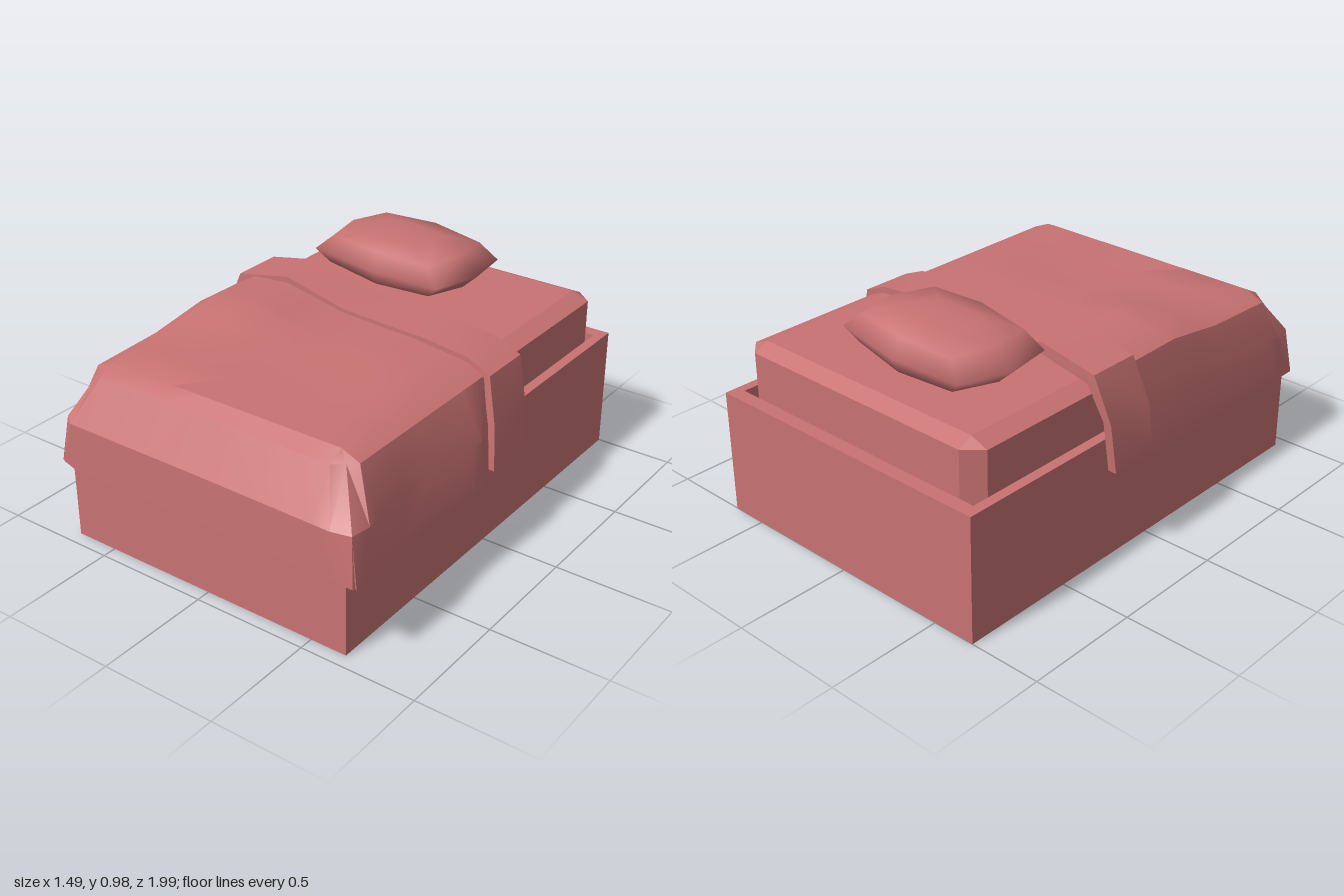
import * as THREE from 'three';
import { toCreasedNormals } from 'three/addons/utils/BufferGeometryUtils.js';

const material = new THREE.MeshStandardMaterial({ color: 0xc87272, side: THREE.DoubleSide });

// Surface from rows of points; the quad diagonals mirror about the middle column.
function surface(rows, crease) {
  const n = rows[0].length, index = [];
  for (let r = 0; r < rows.length - 1; r++) {
    for (let c = 0; c < n - 1; c++) {
      const a = r * n + c, b = a + n, d = a + 1, e = b + 1;
      if (c < (n - 1) / 2) index.push(a, b, d, b, e, d);
      else index.push(a, b, e, a, e, d);
    }
  }
  const g = new THREE.BufferGeometry();
  g.setAttribute('position', new THREE.Float32BufferAttribute(rows.flat(2), 3));
  g.setIndex(index);
  return toCreasedNormals(g, crease);
}

function add(group, name, geometry) {
  const mesh = new THREE.Mesh(geometry, material);
  mesh.name = name;
  group.add(mesh);
}

function box(group, name, x0, x1, y0, y1, z0, z1) {
  const g = new THREE.BoxGeometry(x1 - x0, y1 - y0, z1 - z0);
  add(group, name, g.translate((x0 + x1) / 2, (y0 + y1) / 2, (z0 + z1) / 2));
}

// Piecewise linear lookup in [key, value] pairs
function lookup(table, t) {
  if (t <= table[0][0]) return table[0][1];
  for (let i = 1; i < table.length; i++) {
    const [k0, v0] = table[i - 1], [k1, v1] = table[i];
    if (t <= k1) return v0 + (v1 - v0) * (t - k0) / (k1 - k0);
  }
  return table[table.length - 1][1];
}

// Mattress: clipped corners and a shallow bevel round the top
function mattress() {
  const ring = (x0, x1, z0, z1, cx, cz, y) => [
    [x0, y, z0 + cz], [x0, y, z1 - cz], [x0 + cx, y, z1], [x1 - cx, y, z1],
    [x1, y, z1 - cz], [x1, y, z0 + cz], [x1 - cx, y, z0], [x0 + cx, y, z0], [x0, y, z0 + cz]];
  const centre = y => Array(9).fill([-0.015, y, 0]);
  return surface([
    centre(0.76),
    ring(-0.57, 0.54, -0.865, 0.8, 0, 0, 0.76),
    ring(-0.645, 0.615, -0.93, 0.86, 0.075, 0.065, 0.73),
    ring(-0.645, 0.615, -0.93, 0.86, 0.075, 0.065, 0.42),
    centre(0.42),
  ], 0.3);
}

// Blanket: a flat top that drops through shoulder and middle to the hem on three sides
function blanket() {
  const left = [-0.57, -0.65, -0.7, -0.71], right = [0.54, 0.62, 0.725, 0.74];
  const front = [0.8, 0.868, 0.975, 0.98], drop = [0.765, 0.73, 0.545, 0.345];
  const hump = [[-0.07, 0.9], [0.19, 1], [0.47, 0.22], [0.8, 0]];
  const wave = [[0, -0.06], [0.13, -0.01], [0.4, -0.025], [0.62, -0.035], [0.93, 0]];
  // Rise of the top across the width
  const rise = [[-0.65, 0.05], [-0.57, 0.06], [-0.4, 0.075], [-0.1, 0.01], [0.3, 0.03], [0.54, 0]];
  const columns = [3, 2, 1, 0].map(l => [left[l], l])
    .concat([-0.4, -0.25, -0.1, 0.1, 0.3, 0.43].map(x => [x, 0]), right.map((x, l) => [x, l]));
  const rows = [-0.2, -0.07, 0, 0.13, 0.19, 0.33, 0.47, 0.62].map(z => [z, 0])
    .concat(front.map((z, l) => [z, l]));
  const clip = [0, 0.04, 0.02, 0.012];
  return surface(rows.map(([z, rl]) => columns.map(([x, cl]) => {
    const level = Math.max(rl, cl), side = Math.sign(x);
    let px = x, pz = z, y = drop[level];
    if (level < 2) y += lookup(rise, x) * lookup(hump, z) * (rl ? 0 : 1);
    if (side > 0 && cl > 1) px += lookup(wave, z);
    if (side > 0 && level > 1) pz += 0.012 * Math.max(0, x);
    if (side < 0 && cl > 1) y += 0.017;
    // Blunt the front corners
    if (rl === cl && rl > 0) { px -= side * clip[rl]; pz -= clip[rl]; }
    return [px, y, pz];
  })), 0.45);
}

// Folded band: thick strip running over the bed; points are x, y, back z, front z
function foldedBand() {
  const path = [
    [-0.745, 0.41, -0.27, -0.045], [-0.73, 0.62, -0.29, -0.06], [-0.655, 0.81, -0.305, -0.075],
    [-0.4, 0.86, -0.305, -0.08], [-0.1, 0.79, -0.3, -0.08], [0.1, 0.8, -0.27, -0.05],
    [0.32, 0.81, -0.245, -0.02], [0.54, 0.787, -0.243, -0.018], [0.65, 0.74, -0.24, -0.01],
    [0.7, 0.545, -0.215, 0.02], [0.71, 0.35, -0.23, 0.025]];
  const columns = path.map(([x, y, z0, z1]) => {
    const ix = x * 0.95, iy = y > 0.65 ? y - 0.045 : y;
    return [[ix, iy, z0], [x, y, z0], [x, y, z1], [ix, iy, z1], [ix, iy, z0]];
  });
  // Close the two hems
  const cap = ([x, y, z0, z1]) => Array(5).fill([x * 0.975, y, (z0 + z1) / 2]);
  columns.unshift(cap(path[0]));
  columns.push(cap(path[path.length - 1]));
  return surface([0, 1, 2, 3, 4].map(r => columns.map(c => c[r])), 0.5);
}

// Pillow: one outline, shrunk to rings above and below
function pillow() {
  const outline = [
    [-0.5, -0.58], [-0.47, -0.37], [-0.12, -0.305], [0.2, -0.31],
    [0.265, -0.52], [0.24, -0.73], [-0.1, -0.8], [-0.43, -0.79]];
  const cx = -0.12, cz = -0.55;
  const ring = (sx, sz, y, dip) => outline.concat([outline[0]]).map(([x, z], i) =>
    [cx + (x - cx) * sx, y - (i % 2 ? dip : 0), cz + (z - cz) * sz]);
  return surface([
    ring(0, 0, 0.977, 0), ring(0.4, 0.42, 0.972, 0.002), ring(0.78, 0.85, 0.953, 0.008),
    ring(1, 1, 0.875, 0),
    ring(0.82, 0.88, 0.81, -0.01), ring(0.4, 0.42, 0.775, 0), ring(0, 0, 0.768, 0),
  ], Math.PI);
}

export function createModel() {
  const bed = new THREE.Group();
  bed.name = 'bed';

  // Base: an open tray with a thin rim around the mattress
  const rim = new THREE.Shape();
  const rect = (p, x0, x1, z0, z1) =>
    p.moveTo(x0, -z0).lineTo(x1, -z0).lineTo(x1, -z1).lineTo(x0, -z1).closePath();
  rect(rim, -0.69, 0.66, -1, 0.94);
  const hole = new THREE.Path();
  rect(hole, -0.647, 0.617, -0.94, 0.89);
  rim.holes.push(hole);
  const walls = new THREE.ExtrudeGeometry(rim, { depth: 0.54, bevelEnabled: false });
  add(bed, 'baseWalls', walls.rotateX(-Math.PI / 2));
  box(bed, 'baseFloor', -0.647, 0.617, 0, 0.42, -0.94, 0.89);

  add(bed, 'mattress', mattress());
  add(bed, 'blanket', blanket());
  add(bed, 'foldedBand', foldedBand());
  add(bed, 'pillow', pillow());
  return bed;
}
